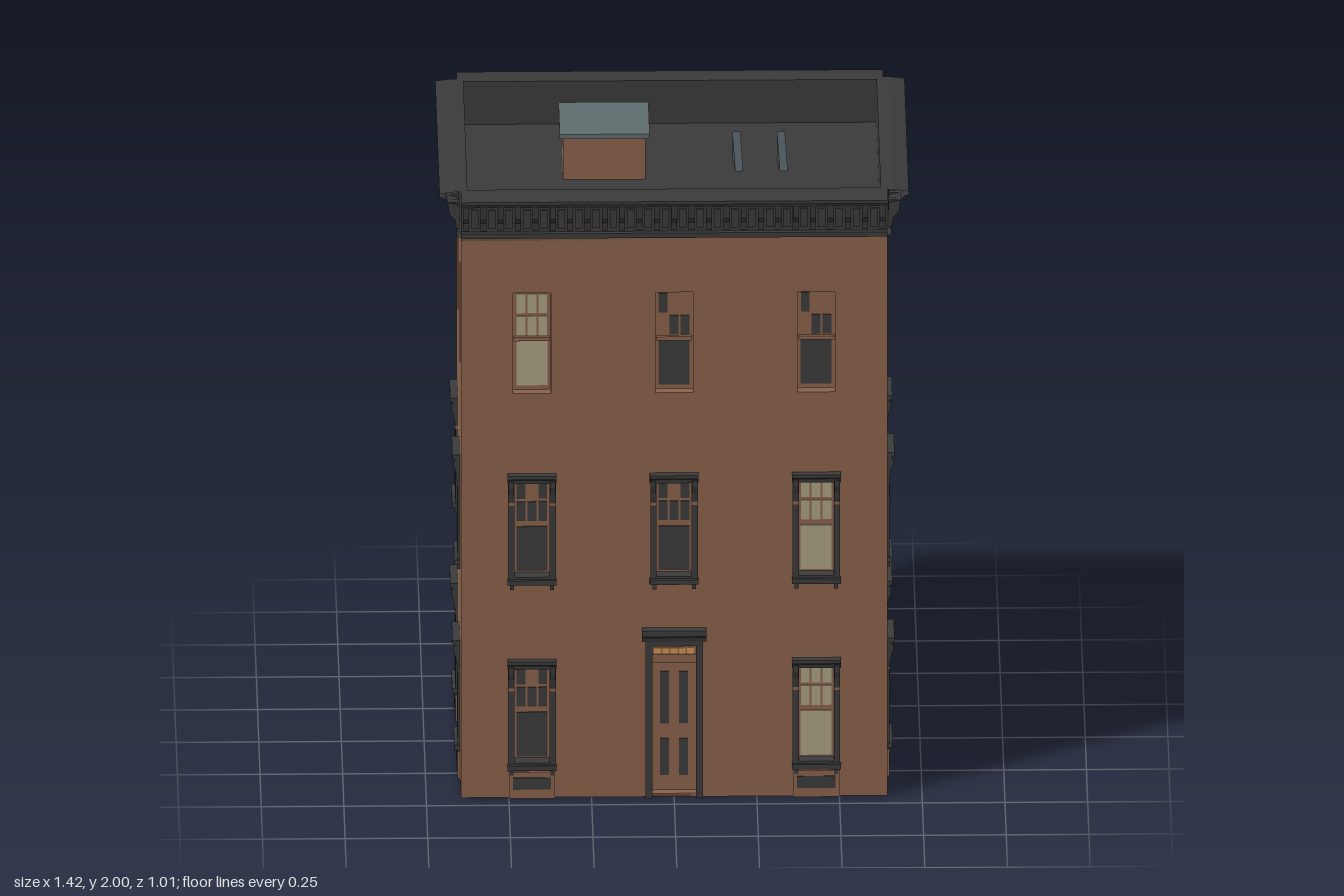
import * as THREE from 'three';

const mat = (name, color, side = THREE.FrontSide) => {
  const m = new THREE.MeshStandardMaterial({ color, side });
  m.name = name;
  return m;
};

export function createModel() {
  const brick = mat('brick', 0x8b624c);
  const iron = mat('darkIron', 0x3a3a3a);
  const sheet = mat('darkSheet', 0x3a3a3a, THREE.DoubleSide);
  const cream = mat('creamLight', 0xaaa283);
  const amber = mat('amberLight', 0xd09455);
  const glass = mat('skylightGlass', 0x5e6c6f);
  const steel = mat('ventSteel', 0x4c565a);
  const pane = { d: iron, c: cream, o: amber };

  const root = new THREE.Group();
  root.name = 'townhouse';

  const add = (parent, name, geo, m) => {
    const mesh = new THREE.Mesh(geo, m);
    mesh.name = name;
    parent.add(mesh);
    return mesh;
  };
  // Box given by its limits on each axis
  const box = (parent, name, m, x0, x1, y0, y1, z0, z1) => {
    const mesh = add(parent, name, new THREE.BoxGeometry(x1 - x0, y1 - y0, z1 - z0), m);
    mesh.position.set((x0 + x1) / 2, (y0 + y1) / 2, (z0 + z1) / 2);
    return mesh;
  };
  const rect = (C, x0, x1, y0, y1) => new C([[x0, y0], [x1, y0], [x1, y1], [x0, y1]].map(p => new THREE.Vector2(...p)));
  // Flat slab with rectangular holes, extruded from z0 to z1
  const slab = (outer, holes, z0, z1) => {
    const s = rect(THREE.Shape, ...outer);
    holes.forEach(h => s.holes.push(rect(THREE.Path, ...h)));
    return new THREE.ExtrudeGeometry(s, { depth: z1 - z0, bevelEnabled: false }).translate(0, 0, z0);
  };
  // Profile in (z, y), extruded along x and centred
  const bar = (profile, w) => new THREE.ExtrudeGeometry(
    new THREE.Shape(profile.map(p => new THREE.Vector2(...p))), { depth: w, bevelEnabled: false })
    .translate(0, 0, -w / 2).rotateY(-Math.PI / 2);
  // Open folded sheet following a (z, y) profile
  const fold = (profile, w) => {
    const pos = [];
    for (let i = 0; i < profile.length - 1; i++) {
      const [za, ya] = profile[i], [zb, yb] = profile[i + 1], h = w / 2;
      pos.push(-h, ya, za, -h, yb, zb, h, yb, zb, -h, ya, za, h, yb, zb, h, ya, za);
    }
    const g = new THREE.BufferGeometry();
    g.setAttribute('position', new THREE.Float32BufferAttribute(pos, 3));
    g.computeVertexNormals();
    return g;
  };

  const floors = [0.09, 0.70, 1.31];
  // Which of the six small panes are clear: top row, then lower row
  const masks = { full: '111111', pair: '101111', step: '100011' };

  function makeWindow(floor, light, mask) {
    const g = new THREE.Group();
    g.name = 'window';
    box(g, 'sash', brick, -0.06, 0.06, 0.015, 0.35, -0.05, -0.032);
    box(g, 'lowerPane', pane[light], -0.047, 0.047, 0.033, 0.178, -0.032, -0.028);
    [...mask].forEach((on, i) => {
      if (on === '0') return;
      const x = (i % 3 - 1) * 0.033, y = i < 3 ? 0.27 : 0.197;
      box(g, 'smallPane', pane[light], x - 0.0135, x + 0.0135, y, y + 0.063, -0.032, -0.028);
    });
    if (floor === 2) {
      add(g, 'meetingRail', new THREE.BoxGeometry(0.11, 0.012, 0.012), brick).position.set(0, 0.187, -0.027);
      return g;
    }
    // Dark surround, hood on brackets, sill on feet
    add(g, 'surround', slab([-0.072, 0.072, 0.012, 0.355], [[-0.053, 0.053, 0.027, 0.342]], -0.032, 0.008), iron);
    add(g, 'hood', bar([[0, 0.335], [0.012, 0.335], [0.014, 0.348], [0.024, 0.354], [0.024, 0.365], [0, 0.365]], 0.148), iron);
    box(g, 'sill', iron, -0.074, 0.074, 0.004, 0.02, 0, 0.018);
    for (const s of [-1, 1]) {
      add(g, 'hoodBracket', bar([[0, 0.275], [0.009, 0.275], [0.012, 0.3], [0.02, 0.325], [0.02, 0.345], [0, 0.345]], 0.017).translate(s * 0.063, 0, 0), iron);
      box(g, 'bandTick', brick, s * 0.0625 - 0.0095, s * 0.0625 + 0.0095, 0.262, 0.272, 0, 0.01);
      box(g, 'sillFoot', iron, s * 0.06 - 0.006, s * 0.06 + 0.006, -0.014, 0.006, 0, 0.01);
    }
    if (floor === 0) {
      box(g, 'ventSurround', brick, -0.07, 0.07, -0.09, -0.004, 0, 0.008);
      box(g, 'cellarVent', iron, -0.058, 0.058, -0.06, -0.021, 0.008, 0.011);
    }
    return g;
  }

  function makeDoor() {
    const g = new THREE.Group();
    g.name = 'frontDoor';
    box(g, 'doorLeaf', brick, -0.07, 0.07, 0, 0.505, -0.05, -0.03);
    for (const s of [-1, 1]) {
      box(g, 'upperPanel', iron, s * 0.029 - 0.014, s * 0.029 + 0.014, 0.23, 0.4, -0.03, -0.026);
      box(g, 'lowerPanel', iron, s * 0.029 - 0.014, s * 0.029 + 0.014, 0.06, 0.18, -0.03, -0.026);
      box(g, 'doorPost', iron, s * 0.0765 - 0.0105, s * 0.0765 + 0.0105, 0, 0.515, -0.03, 0.012);
    }
    box(g, 'transomRail', brick, -0.066, 0.066, 0.43, 0.458, -0.03, -0.022);
    for (let i = 0; i < 5; i++) {
      const x = (i - 2) * 0.025;
      box(g, 'transomLight', amber, x - 0.01, x + 0.01, 0.458, 0.478, -0.03, -0.026);
    }
    box(g, 'doorHead', iron, -0.087, 0.087, 0.5, 0.52, -0.03, 0.014);
    add(g, 'doorHood', bar([[0, 0.515], [0.014, 0.515], [0.018, 0.53], [0.028, 0.537], [0.028, 0.556], [0, 0.556]], 0.196), iron);
    return g;
  }

  function makeCornice(w) {
    const g = new THREE.Group();
    g.name = 'cornice';
    add(g, 'corniceSheet', fold([[-0.02, 1.99], [0.02, 1.99], [0.065, 1.984], [0.065, 1.974], [0.05, 1.968],
      [0.042, 1.956], [0.012, 1.95], [0.006, 1.945], [0.006, 1.862], [0.012, 1.858], [0.012, 1.842], [0, 1.84]], w), sheet);
    box(g, 'parapet', iron, -w / 2, w / 2, 1.83, 1.988, -0.02, 0);
    const n = Math.round(w / 0.054), step = (w - 0.03) / n;
    for (let i = 0; i <= n; i++) {
      const x = -w / 2 + 0.015 + i * step;
      add(g, 'corniceBracket', bar([[0.004, 1.865], [0.014, 1.868], [0.017, 1.895], [0.036, 1.915], [0.04, 1.955], [0.004, 1.955]], 0.018).translate(x, 0, 0), iron);
      if (i < n) box(g, 'friezePanel', iron, x + step / 2 - 0.011, x + step / 2 + 0.011, 1.875, 1.935, 0.004, 0.011);
    }
    return g;
  }

  // Each side: turn, distance, width, window columns, then light and panes per floor from the ground up
  const sides = [
    { name: 'frontWall', turn: 0, d: 0.44, w: 1.29, cols: [-0.43, 0, 0.43], lights: ['d-c', 'ddc', 'cdd'] },
    { name: 'leftWall', turn: 1, d: 0.645, w: 0.88, cols: [-0.22, 0.22], lights: ['dd', 'do', 'dd'] },
    { name: 'backWall', turn: 2, d: 0.44, w: 1.29, cols: [-0.43, 0, 0.43], lights: ['cod', 'odo', 'cod'] },
    { name: 'rightWall', turn: 3, d: 0.645, w: 0.88, cols: [-0.22, 0.22], lights: ['dd', 'dd', 'oo'] },
  ];
  for (const s of sides) {
    const face = new THREE.Group();
    face.name = s.name;
    face.rotation.y = s.turn * Math.PI / 2;
    face.position.set(Math.sin(face.rotation.y) * s.d, 0, Math.cos(face.rotation.y) * s.d);
    root.add(face);
    const holes = [];
    floors.forEach((b, f) => s.cols.forEach((x, c) => {
      const light = s.lights[f][c];
      if (light === '-') {
        holes.push([x - 0.066, x + 0.066, 0.004, 0.502]);
        face.add(makeDoor());
        return;
      }
      holes.push([x - 0.057, x + 0.057, b + 0.018, b + 0.348]);
      const mask = light !== 'd' || (s.turn % 2 && f < 2) ? masks.full : f === 2 ? masks.step : masks.pair;
      const win = makeWindow(f, light, mask);
      win.position.set(x, b, 0);
      face.add(win);
    }));
    add(face, 'brickwork', slab([-s.w / 2, s.w / 2, 0, 1.845], holes, -0.05, 0), brick);
    face.add(makeCornice(s.turn % 2 ? 0.874 : 1.29));
  }

  // Base, flat roof and rooftop fittings
  box(root, 'base', brick, -0.643, 0.643, 0.001, 0.01, -0.438, 0.438);
  box(root, 'roof', iron, -0.63, 0.63, 1.82, 1.847, -0.425, 0.425);
  box(root, 'skylightCurb', brick, -0.33, -0.08, 1.847, 1.985, -0.22, 0.01);
  box(root, 'skylight', glass, -0.34, -0.068, 1.985, 2, -0.228, 0.02);
  for (const x of [0.2, 0.335]) {
    const vent = add(root, 'roofVent', bar([[-0.045, 0], [0.05, 0], [-0.045, 0.09]], 0.024), steel);
    vent.position.set(x, 1.847, -0.097);
    vent.rotation.y = 0.08;
  }
  return root;
}
